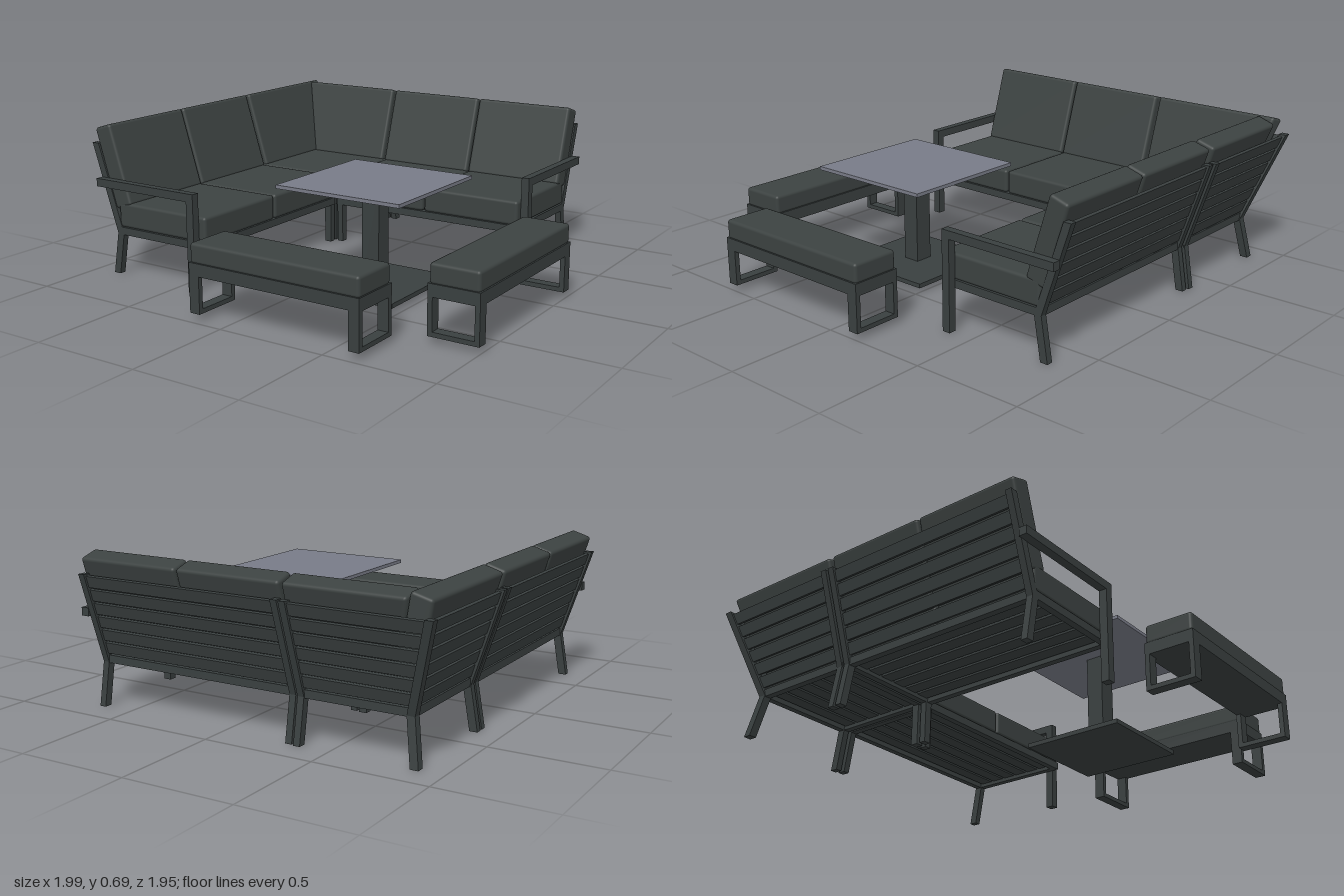
import * as THREE from 'three';
import { RoundedBoxGeometry } from 'three/addons/geometries/RoundedBoxGeometry.js';

const fabric = new THREE.MeshStandardMaterial({ color: 0x3c4241 });
fabric.name = 'charcoalFabric';
const metal = new THREE.MeshStandardMaterial({ color: 0x393f3f });
metal.name = 'charcoalMetal';
const slate = new THREE.MeshStandardMaterial({ color: 0x787b87 });
slate.name = 'greyTableTop';

const LEAN = 0.3;       // tilt of the backrests
const DEPTH = 0.655;    // seat depth, measured from the top of the backrest

function add(parent, name, geometry, material) {
  const mesh = new THREE.Mesh(geometry, material);
  mesh.name = name;
  parent.add(mesh);
  return mesh;
}

// Box given by its limits on each axis
function box(parent, name, x0, x1, y0, y1, z0, z1, material = metal) {
  const g = new THREE.BoxGeometry(Math.abs(x1 - x0), y1 - y0, z1 - z0);
  g.translate((x0 + x1) / 2, (y0 + y1) / 2, (z0 + z1) / 2);
  return add(parent, name, g, material);
}

function cushion(parent, name, x0, x1, y0, y1, z0, z1) {
  const g = new RoundedBoxGeometry(Math.abs(x1 - x0), y1 - y0, z1 - z0, 3, 0.014);
  g.translate((x0 + x1) / 2, (y0 + y1) / 2, (z0 + z1) / 2);
  return add(parent, name, g, fabric);
}

// Slanted bar with level ends, from a bottom centre to a top centre
function slantBar(parent, name, bottom, top, w, d) {
  const g = new THREE.BoxGeometry(w, 1, d);
  const p = g.attributes.position;
  for (let i = 0; i < p.count; i++) {
    const t = p.getY(i) + 0.5;
    p.setXYZ(i,
      p.getX(i) + THREE.MathUtils.lerp(bottom[0], top[0], t),
      THREE.MathUtils.lerp(bottom[1], top[1], t),
      p.getZ(i) + THREE.MathUtils.lerp(bottom[2], top[2], t));
  }
  g.computeVertexNormals();
  return add(parent, name, g, metal);
}

// Leaning back post and the splayed leg under it
function backPost(parent, x) {
  slantBar(parent, 'backPost', [x, 0.2, 0.152], [x, 0.607, 0.018], 0.03, 0.036);
  slantBar(parent, 'backLeg', [x, 0.005, 0.118], [x, 0.2, 0.152], 0.03, 0.036);
}

// Horizontal slats up the backrest; the ends come from a function of depth
function backSlats(parent, ends) {
  const n = 6;
  for (let i = 0; i < n; i++) {
    const t = (i + 0.5) / n;
    const z = THREE.MathUtils.lerp(0.142, 0.018, t);
    const [x0, x1] = ends(z);
    const slat = add(parent, 'backSlat', new THREE.BoxGeometry(Math.abs(x1 - x0), 0.053, 0.014), metal);
    slat.position.set((x0 + x1) / 2, THREE.MathUtils.lerp(0.235, 0.605, t), z);
    slat.rotation.x = -LEAN;
  }
}

// Tilted back cushion; a mitred end follows the lean of its neighbour
function backCushion(parent, x0, x1, mitre = 0) {
  const w = Math.abs(x1 - x0), mid = (x0 + x1) / 2;
  const g = new RoundedBoxGeometry(w, 0.38, 0.095, 3, 0.014);
  g.rotateX(-LEAN).translate(mid, 0.506, 0.117);
  if (mitre) {
    const p = g.attributes.position;
    for (let i = 0; i < p.count; i++) {
      const x = p.getX(i);
      if ((x - mid) * mitre < 0) p.setX(i, x + mitre * 0.3 * (0.7 - p.getY(i)));
    }
  }
  add(parent, 'backCushion', g, fabric);
}

// Seat rails with slats running along the seat
function seatFrame(parent, x0, x1) {
  box(parent, 'frontRail', x0, x1, 0.195, 0.23, DEPTH - 0.03, DEPTH);
  box(parent, 'rearRail', x0, x1, 0.195, 0.23, 0.137, 0.167);
  box(parent, 'sideRail', x0, x0 + 0.03, 0.195, 0.23, 0.16, DEPTH - 0.02);
  box(parent, 'sideRail', x1 - 0.03, x1, 0.195, 0.23, 0.16, DEPTH - 0.02);
  const n = 6, pitch = (DEPTH - 0.2) / n;
  for (let i = 0; i < n; i++) {
    const z = 0.17 + i * pitch;
    box(parent, 'seatSlat', x0 + 0.01, x1 - 0.01, 0.212, 0.228, z + 0.007, z + pitch - 0.007);
  }
}

// Two-seat sofa facing +z with one armrest at the given end
function sofa(name, arm) {
  const s = new THREE.Group();
  s.name = name;
  seatFrame(s, -0.498, 0.498);
  backPost(s, -0.483);
  backPost(s, 0.483);
  backSlats(s, () => [-0.47, 0.47]);
  for (const side of [-1, 1]) {
    cushion(s, 'seatCushion', side * 0.004, side * 0.496, 0.23, 0.345, 0.145, DEPTH);
    backCushion(s, side * 0.004, side * 0.496);
  }
  box(s, 'frontLeg', -arm * 0.498, -arm * 0.468, 0.005, 0.2, DEPTH - 0.04, DEPTH - 0.005);
  // Armrest and its upright
  box(s, 'armLeg', arm * 0.497, arm * 0.534, 0.005, 0.417, 0.582, 0.62);
  box(s, 'armRest', arm * 0.497, arm * 0.534, 0.415, 0.452, 0.05, 0.62);
  return s;
}

// Square corner seat with a backrest on two sides
function cornerSeat() {
  const c = new THREE.Group();
  c.name = 'cornerSeat';
  seatFrame(c, 0.137, DEPTH);
  cushion(c, 'seatCushion', 0.145, DEPTH, 0.23, 0.345, 0.145, DEPTH);
  slantBar(c, 'cornerPost', [0.152, 0.2, 0.152], [0.018, 0.607, 0.018], 0.036, 0.036);
  slantBar(c, 'cornerLeg', [0.118, 0.005, 0.118], [0.152, 0.2, 0.152], 0.036, 0.036);
  box(c, 'frontLeg', DEPTH - 0.04, DEPTH - 0.005, 0.005, 0.2, DEPTH - 0.04, DEPTH - 0.005);
  for (const side of [1, -1]) {
    const wing = new THREE.Group();
    wing.name = side > 0 ? 'rearBackrest' : 'sideBackrest';
    backPost(wing, side * (DEPTH - 0.017));
    backSlats(wing, (z) => [side * z, side * (DEPTH - 0.02)]);
    backCushion(wing, side * (side > 0 ? 0.108 : 0.025), side * (DEPTH - 0.005), side);
    if (side < 0) wing.rotation.y = Math.PI / 2;
    c.add(wing);
  }
  return c;
}

// Long stool on two rectangular loop legs
function bench(name) {
  const b = new THREE.Group();
  b.name = name;
  box(b, 'benchFrame', -0.415, 0.415, 0.195, 0.25, -0.115, 0.115);
  cushion(b, 'benchCushion', -0.412, 0.412, 0.245, 0.333, -0.111, 0.111);
  for (const side of [-1, 1]) {
    const x0 = side * 0.365, x1 = side * 0.415;
    box(b, 'loopFoot', x0, x1, 0.033, 0.053, -0.115, 0.115);
    box(b, 'loopPost', x0, x1, 0.053, 0.195, -0.115, -0.093);
    box(b, 'loopPost', x0, x1, 0.053, 0.195, 0.093, 0.115);
  }
  return b;
}

function table() {
  const t = new THREE.Group();
  t.name = 'table';
  box(t, 'tableTop', -0.308, 0.308, 0.486, 0.502, -0.308, 0.308, slate);
  box(t, 'tableColumn', -0.043, 0.043, 0.05, 0.486, -0.04, 0.04);
  box(t, 'tableBase', -0.235, 0.235, 0.03, 0.05, -0.24, 0.24);
  return t;
}

export function createModel() {
  const model = new THREE.Group();
  model.name = 'gardenLoungeSet';
  const place = (part, x, z, turn = 0) => {
    part.position.set(x, 0, z);
    part.rotation.y = turn;
    model.add(part);
  };
  place(sofa('rearSofa', 1), 0.168, -0.975);
  place(sofa('sideSofa', -1), -0.995, 0.182, Math.PI / 2);
  place(cornerSeat(), -0.995, -0.982);
  place(table(), 0.248, 0.23);
  place(bench('frontBench'), 0.235, 0.857);
  place(bench('sideBench'), 0.882, 0.255, Math.PI / 2);
  return model;
}
